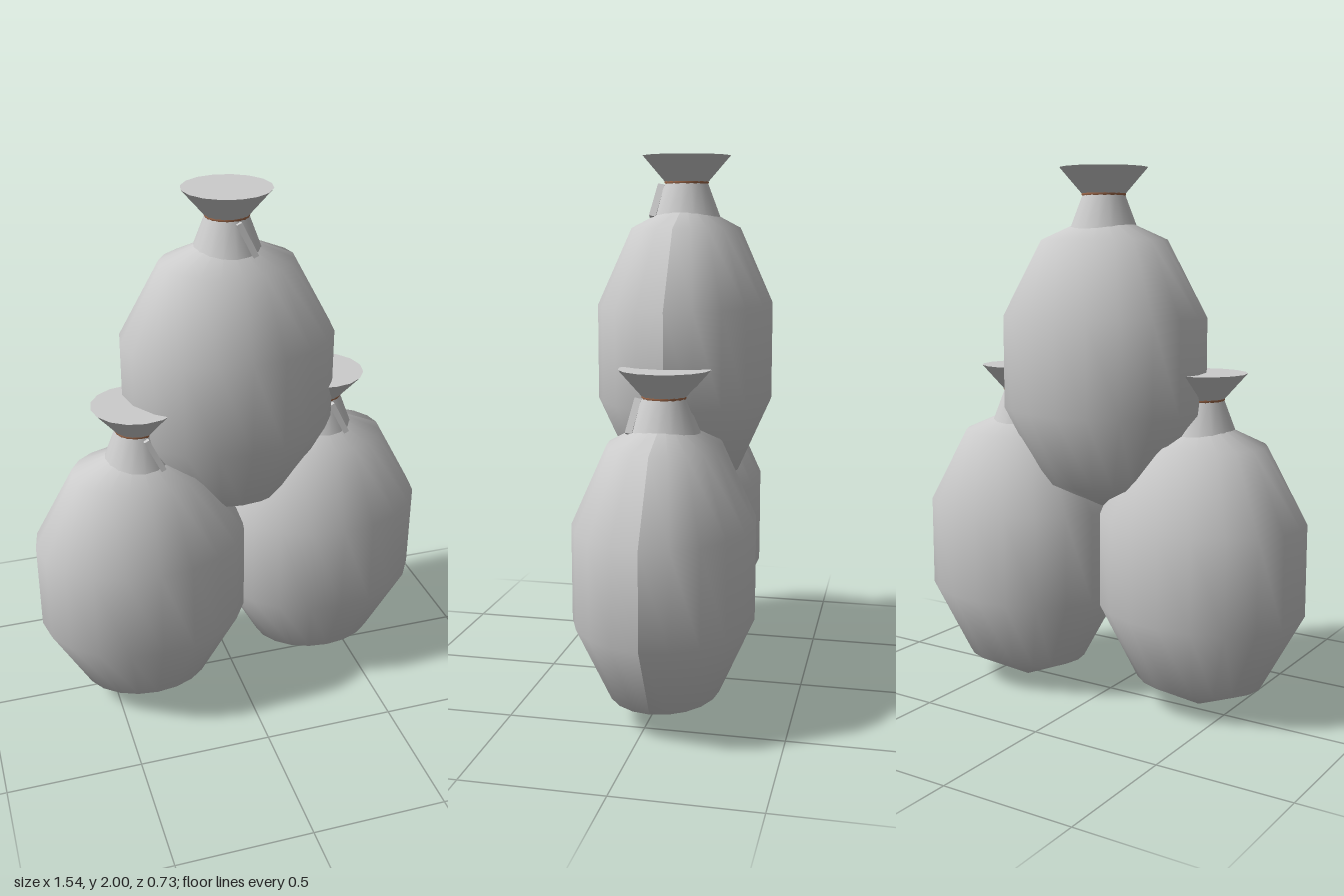
import * as THREE from 'three';

const cloth = new THREE.MeshStandardMaterial({ color: 0xcccccc });
cloth.name = 'paleCloth';
const cord = new THREE.MeshStandardMaterial({ color: 0xa0694a });
cord.name = 'brownCord';

function part(parent, name, geometry, material) {
  const mesh = new THREE.Mesh(geometry, material);
  mesh.name = name;
  parent.add(mesh);
  return mesh;
}

// One tied sack, standing on its tip at y = 0
function createSack(name) {
  const sack = new THREE.Group();
  sack.name = name;

  // Body: coarse rings, smooth around, with its seam on the +x side
  const bodyGeo = new THREE.SphereGeometry(1, 20, 5, Math.PI);
  bodyGeo.scale(0.42, 0.556, 0.339);
  bodyGeo.computeVertexNormals();
  part(sack, 'body', bodyGeo, cloth).position.y = 0.556;

  // Gathered neck and flared mouth
  part(sack, 'neck', new THREE.CylinderGeometry(0.08, 0.13, 0.13, 16), cloth).position.y = 1.1;
  part(sack, 'mouth', new THREE.CylinderGeometry(0.163, 0.075, 0.1, 16), cloth).position.y = 1.215;

  // Cord around the neck
  const tie = part(sack, 'tie', new THREE.TorusGeometry(0.068, 0.014, 8, 20), cord);
  tie.rotation.x = Math.PI / 2;
  tie.position.y = 1.17;

  // Loose strip hanging from the tie at the front
  const top = new THREE.Vector3(0.015, 1.16, 0.09);
  const end = new THREE.Vector3(0.07, 1.045, 0.112);
  const strip = part(sack, 'looseEnd',
    new THREE.BoxGeometry(0.02, top.distanceTo(end), 0.025), cloth);
  strip.position.copy(top).lerp(end, 0.5);
  strip.quaternion.setFromUnitVectors(new THREE.Vector3(0, 1, 0), top.clone().sub(end).normalize());
  return sack;
}

export function createModel() {
  const model = new THREE.Group();
  model.name = 'sackPile';
  const places = [
    ['rightSack', -0.37, 0, 0.043],
    ['leftSack', 0.37, 0, -0.046],
    ['topSack', 0, 0.735, -0.046],
  ];
  for (const [name, x, y, z] of places) {
    const sack = createSack(name);
    sack.position.set(x, y, z);
    model.add(sack);
  }
  return model;
}
